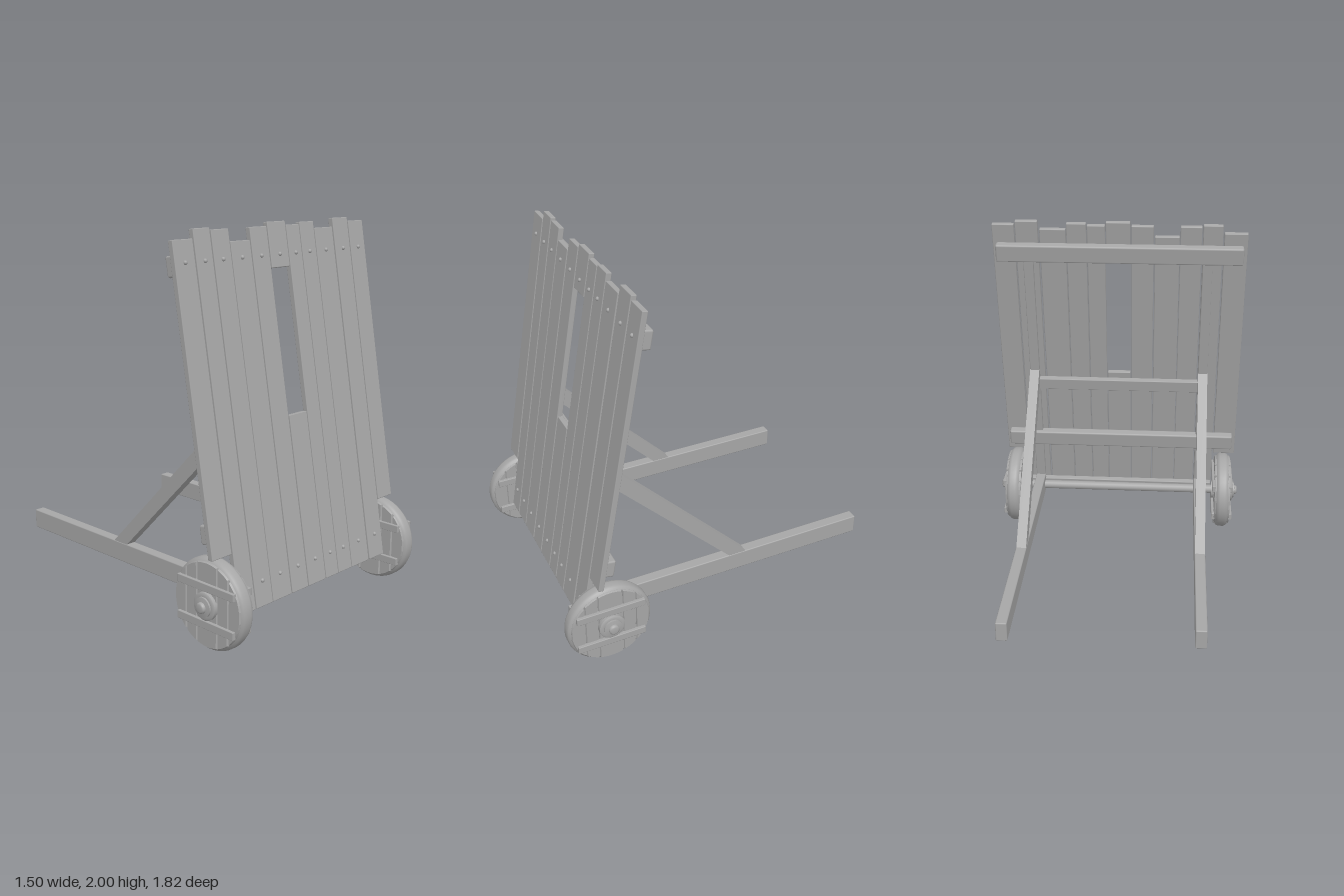
import * as THREE from 'three';
import { RoundedBoxGeometry } from 'three/addons/geometries/RoundedBoxGeometry.js';

const TILT = THREE.MathUtils.degToRad(10);
const BASE_Y = 0.18;

export function createModel() {
  const model = new THREE.Group();
  model.name = 'planShield';
  const wood = new THREE.MeshStandardMaterial({ color: 0xa6a6a6 });
  wood.name = 'grey wood';

  const add = (parent, name, geometry, x = 0, y = 0, z = 0) => {
    const mesh = new THREE.Mesh(geometry, wood);
    mesh.name = name;
    mesh.position.set(x, y, z);
    parent.add(mesh);
    return mesh;
  };
  // Box given by its limits on each axis
  const beam = (parent, name, x0, x1, y0, y1, z0, z1, r = 0.004) =>
    add(parent, name, new RoundedBoxGeometry(x1 - x0, y1 - y0, z1 - z0, 1, r),
      (x0 + x1) / 2, (y0 + y1) / 2, (z0 + z1) / 2);

  // Leaning panel: local y runs up the slope, local z = 0 is its front face
  const panel = new THREE.Group();
  panel.name = 'leaningPanel';
  panel.position.set(0, BASE_Y, 0.795);
  panel.rotation.x = -TILT;
  model.add(panel);
  const up = (y) => (y - BASE_Y) / Math.cos(TILT);

  // Planks: left edge, right edge, bottom, top
  const planks = [
    [-0.72, -0.59, 0.48, 1.945], [-0.582, -0.473, 0.18, 1.99], [-0.466, -0.348, 0.18, 1.98],
    [-0.344, -0.207, 0.18, 1.92], [-0.2, -0.077, 0.18, 1.98], [-0.07, 0.065, 0.18, 1.05],
    [-0.07, 0.065, 1.775, 2.0], [0.07, 0.17, 0.18, 1.98], [0.175, 0.285, 0.18, 1.99],
    [0.29, 0.435, 0.18, 1.955], [0.445, 0.57, 0.18, 2.0], [0.577, 0.7, 0.48, 1.98],
  ];
  const nailGeometry = new THREE.SphereGeometry(0.011, 8, 6);
  for (const [x0, x1, y0, y1] of planks) {
    beam(panel, 'plank', x0, x1, up(y0), up(y1), -0.03, 0);
    for (const y of [0.305, 1.84]) {
      if (y > y0 && y < y1) add(panel, 'nail', nailGeometry, (x0 + x1) / 2, up(y), 0);
    }
  }

  // Rails and posts behind the planks
  beam(panel, 'topRail', -0.7, 0.68, up(1.78), up(1.88), -0.085, -0.03, 0.01);
  beam(panel, 'lowerRail', -0.7, 0.68, up(0.545), up(0.64), -0.085, -0.03, 0.01);
  beam(panel, 'middleRail', -0.53, 0.53, up(0.945), up(1.015), -0.068, -0.03);
  beam(panel, 'bottomRail', -0.58, 0.57, up(0.195), up(0.27), -0.065, -0.03);
  for (const s of [-1, 1]) {
    beam(panel, 'post', s * 0.5025 - 0.0275, s * 0.5025 + 0.0275, up(0.19), up(1.84), -0.063, -0.03);
  }

  // Ground beams and diagonal braces
  const braceShape = new THREE.Shape([[-0.587, 1.075], [0.196, 0.285], [0.095, 0.285], [-0.605, 0.985]]
    .map(([a, b]) => new THREE.Vector2(a, b)));
  const braceGeometry = new THREE.ExtrudeGeometry(braceShape, { depth: 0.055, bevelEnabled: false });
  braceGeometry.translate(0, 0, -0.0275).rotateY(Math.PI / 2);
  for (const s of [-1, 1]) {
    beam(model, 'groundBeam', s * 0.5025 - 0.03, s * 0.5025 + 0.03, 0.183, 0.29, -0.912, 0.73, 0.006);
    add(model, 'diagonalBrace', braceGeometry, s * 0.5025);
  }

  // Axle
  const axleGeometry = new THREE.CylinderGeometry(0.026, 0.026, 1.3, 16).rotateZ(Math.PI / 2);
  add(model, 'axle', axleGeometry, 0, 0.235, 0.68);

  // Wheel board: slice of a disc between two vertical lines
  const boardGeometry = (a, b) => {
    const r = 0.212, shape = new THREE.Shape(), n = 10;
    for (let side = 1; side >= -1; side -= 2) {
      for (let i = 0; i <= n; i++) {
        const t = side > 0 ? i / n : 1 - i / n;
        const x = a + (b - a) * t;
        const y = side * Math.sqrt(Math.max(r * r - x * x, 0.0004));
        if (side > 0 && i === 0) shape.moveTo(x, y);
        else shape.lineTo(x, y);
      }
    }
    const g = new THREE.ExtrudeGeometry(shape,
      { depth: 0.076, bevelThickness: 0.009, bevelSize: 0.004, bevelSegments: 1 });
    return g.translate(0, 0, -0.038).rotateY(Math.PI / 2);
  };
  const boards = [[-0.21, -0.145], [-0.133, -0.073], [-0.061, 0.061], [0.073, 0.133], [0.145, 0.21]]
    .map(([a, b]) => boardGeometry(a, b));

  // Round parts turned about the wheel axis: points are radius, x
  const turned = (points) => new THREE.LatheGeometry(
    points.map(([r, h]) => new THREE.Vector2(r, h)), 48).rotateZ(-Math.PI / 2);
  const rimGeometry = turned([[0, -0.037], [0.215, -0.037], [0.215, -0.037], [0.227, -0.028], [0.232, -0.015],
    [0.232, 0.015], [0.227, 0.028], [0.215, 0.037], [0.215, 0.037], [0, 0.037]]);
  const hubGeometry = turned([[0.07, 0.04], [0.07, 0.04], [0.07, 0.064], [0.07, 0.064], [0.062, 0.069],
    [0.05, 0.069], [0.05, 0.069], [0.05, 0.078], [0.05, 0.078], [0.028, 0.082], [0.028, 0.082],
    [0.026, 0.094], [0.018, 0.098], [0, 0.098]]);

  // Wheels with battens on both faces
  for (const s of [-1, 1]) {
    const wheel = new THREE.Group();
    wheel.name = s > 0 ? 'leftWheel' : 'rightWheel';
    wheel.position.set(s * 0.65, 0.235, 0.68);
    if (s < 0) wheel.rotation.y = Math.PI;
    model.add(wheel);
    add(wheel, 'wheelRim', rimGeometry);
    for (const g of boards) add(wheel, 'wheelBoard', g);
    for (const y of [-0.095, 0.095]) {
      for (const x of [-0.052, 0.052]) {
        beam(wheel, 'batten', x - 0.011, x + 0.011, y - 0.02, y + 0.02, -0.187, 0.187, 0.003);
      }
    }
    add(wheel, 'hub', hubGeometry);
    const collar = new THREE.CylinderGeometry(0.055, 0.055, 0.03, 24).rotateZ(Math.PI / 2);
    add(wheel, 'innerCollar', collar, -0.05);
  }
  return model;
}
